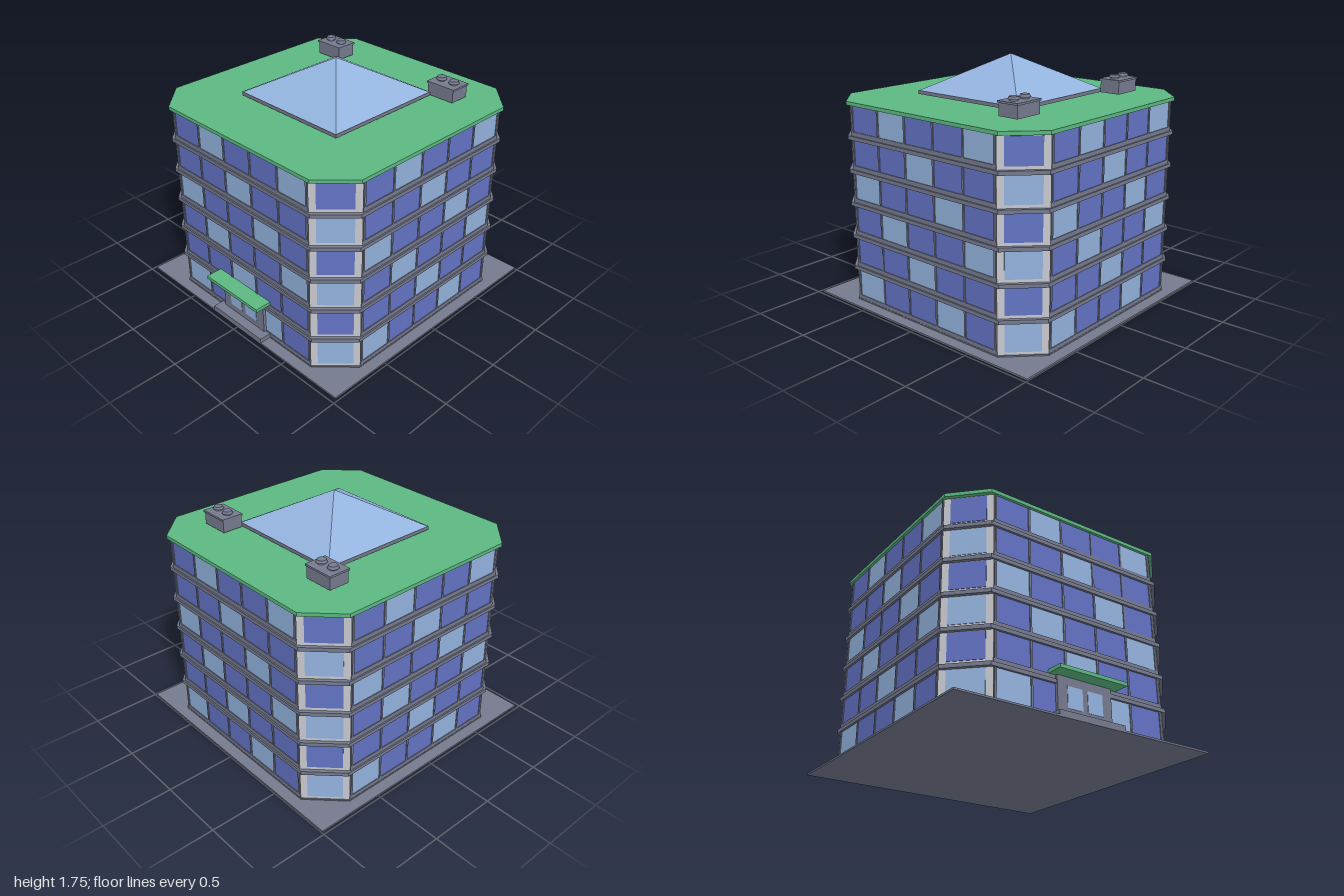
import * as THREE from 'three';

const mat = (name, color) => {
  const m = new THREE.MeshStandardMaterial({ color });
  m.name = name;
  return m;
};

export function createModel() {
  const concrete = mat('slate concrete', 0x757a8e);
  const green = mat('roof green', 0x5cb882);
  const pale = mat('pale corner frame', 0xc8c8d0);
  const darkGlass = mat('deep blue glass', 0x6373c4);
  const lightGlass = mat('light blue glass', 0x93b3de);

  const model = new THREE.Group();
  model.name = 'officeBuilding';
  const body = new THREE.Group();
  body.name = 'building';
  body.position.z = -0.015;
  model.add(body);

  const add = (parent, name, geometry, material, x = 0, y = 0, z = 0) => {
    const mesh = new THREE.Mesh(geometry, material);
    mesh.name = name;
    mesh.position.set(x, y, z);
    parent.add(mesh);
    return mesh;
  };

  // box given by its limits in x, y and z
  const box = (parent, name, material, x0, x1, y0, y1, z0, z1) =>
    add(parent, name, new THREE.BoxGeometry(x1 - x0, y1 - y0, z1 - z0), material,
      (x0 + x1) / 2, (y0 + y1) / 2, (z0 + z1) / 2);

  // square slab with cut corners: half width a, corner cut starting at c
  const slab = (name, material, a, c, y0, y1) => {
    const pts = [[a, -c], [a, c], [c, a], [-c, a], [-a, c], [-a, -c], [-c, -a], [c, -a]];
    const shape = new THREE.Shape(pts.map(([x, y]) => new THREE.Vector2(x, y)));
    const geo = new THREE.ExtrudeGeometry(shape, { depth: y1 - y0, bevelEnabled: false });
    add(body, name, geo.rotateX(-Math.PI / 2), material, 0, y0, 0);
  };

  const FLOORS = 6, STEP = 0.238, BAND = 0.027;
  const WALL = 0.898, CUT = 0.667;
  const CORNER = (WALL + CUT) / Math.SQRT2; // distance of the corner faces
  const HALF_CORNER = (WALL - CUT) / Math.SQRT2;

  // ground, core, floor bands and roof
  box(body, 'groundPlate', concrete, -0.982, 0.982, 0, 0.013, -0.982, 0.982);
  slab('wallCore', concrete, 0.885, 0.66, 0.013, 1.437);
  slab('plinth', concrete, 0.9, 0.672, 0.013, 0.022);
  for (let f = 1; f < FLOORS; f++) {
    const top = 0.032 + f * STEP;
    slab('floorBand', concrete, 0.908, 0.69, top - BAND, top);
  }
  slab('roofSlab', green, 0.909, 0.69, 1.435, 1.461);

  // four facades with their corners, each seen along its own +z
  for (let side = 0; side < 4; side++) {
    const facade = new THREE.Group();
    facade.name = 'facade';
    facade.rotation.y = side * Math.PI / 2;
    body.add(facade);
    const corner = new THREE.Group();
    corner.name = 'cornerBay';
    corner.rotation.y = (side + 0.5) * Math.PI / 2;
    body.add(corner);

    for (let f = 0; f < FLOORS; f++) {
      const y0 = f === 0 ? 0.02 : 0.032 + f * STEP;
      const y1 = 0.032 + (f + 1) * STEP - BAND;
      box(facade, 'sill', concrete, -CUT, CUT, y0, y0 + 0.03, 0.88, WALL);
      for (let c = 0; c < 5; c++) {
        const x = (c - 2) * 0.26;
        const glass = (c + f) % 3 === 0 ? lightGlass : darkGlass;
        box(facade, 'window', glass, x - 0.125, x + 0.125, y0 + 0.03, y1, 0.884, 0.892);
      }
      // corner window between two pale frames
      box(corner, 'cornerPanel', pale, -HALF_CORNER, HALF_CORNER, y0, y1, CORNER - 0.02, CORNER - 0.002);
      box(corner, 'cornerWindow', f % 2 ? darkGlass : lightGlass,
        -0.117, 0.117, y0 + 0.022, y1 - 0.005, CORNER - 0.003, CORNER + 0.002);
    }
    for (let i = 0; i < 6; i++) {
      const x = (i - 2.5) * 0.26;
      box(facade, 'mullion', concrete, x - 0.007, x + 0.007, 0.02, 1.436, 0.88, WALL);
    }
  }

  // entrance with steps, doors and canopy
  const entrance = new THREE.Group();
  entrance.name = 'entrance';
  body.add(entrance);
  box(entrance, 'porch', concrete, -0.213, 0.213, 0.013, 0.298, 0.87, 0.913);
  box(entrance, 'step', concrete, -0.256, 0.256, 0.013, 0.045, 0.87, 0.982);
  for (const s of [-1, 1]) {
    box(entrance, 'doorGlass', lightGlass, s * 0.079 - 0.059, s * 0.079 + 0.059, 0.095, 0.24, 0.91, 0.916);
  }
  box(entrance, 'canopy', green, -0.266, 0.266, 0.298, 0.323, 0.87, 1.012);

  // glass pyramid skylight on a rim
  box(body, 'skylightRim', concrete, -0.457, 0.457, 1.477, 1.502, -0.457, 0.457);
  const pyramid = new THREE.ConeGeometry(0.452 * Math.SQRT2, 0.253, 4).rotateY(Math.PI / 4).toNonIndexed();
  pyramid.computeVertexNormals();
  add(body, 'skylight', pyramid, lightGlass, 0, 1.502 + 0.1265, 0);

  // two rooftop vent units at the back
  for (const s of [-1, 1]) {
    const unit = new THREE.Group();
    unit.name = 'ventUnit';
    unit.position.set(s * 0.54, 0, -0.539);
    body.add(unit);
    box(unit, 'ventBody', concrete, -0.107, 0.107, 1.477, 1.562, -0.076, 0.076);
    box(unit, 'ventCap', concrete, -0.114, 0.114, 1.562, 1.576, -0.082, 0.082);
    for (const x of [-0.053, 0.053]) {
      add(unit, 'ventNeck', new THREE.CylinderGeometry(0.028, 0.028, 0.012, 20), concrete, x, 1.581, 0);
      add(unit, 'ventLid', new THREE.CylinderGeometry(0.03, 0.038, 0.018, 20), concrete, x, 1.595, 0);
    }
  }
  return model;
}
